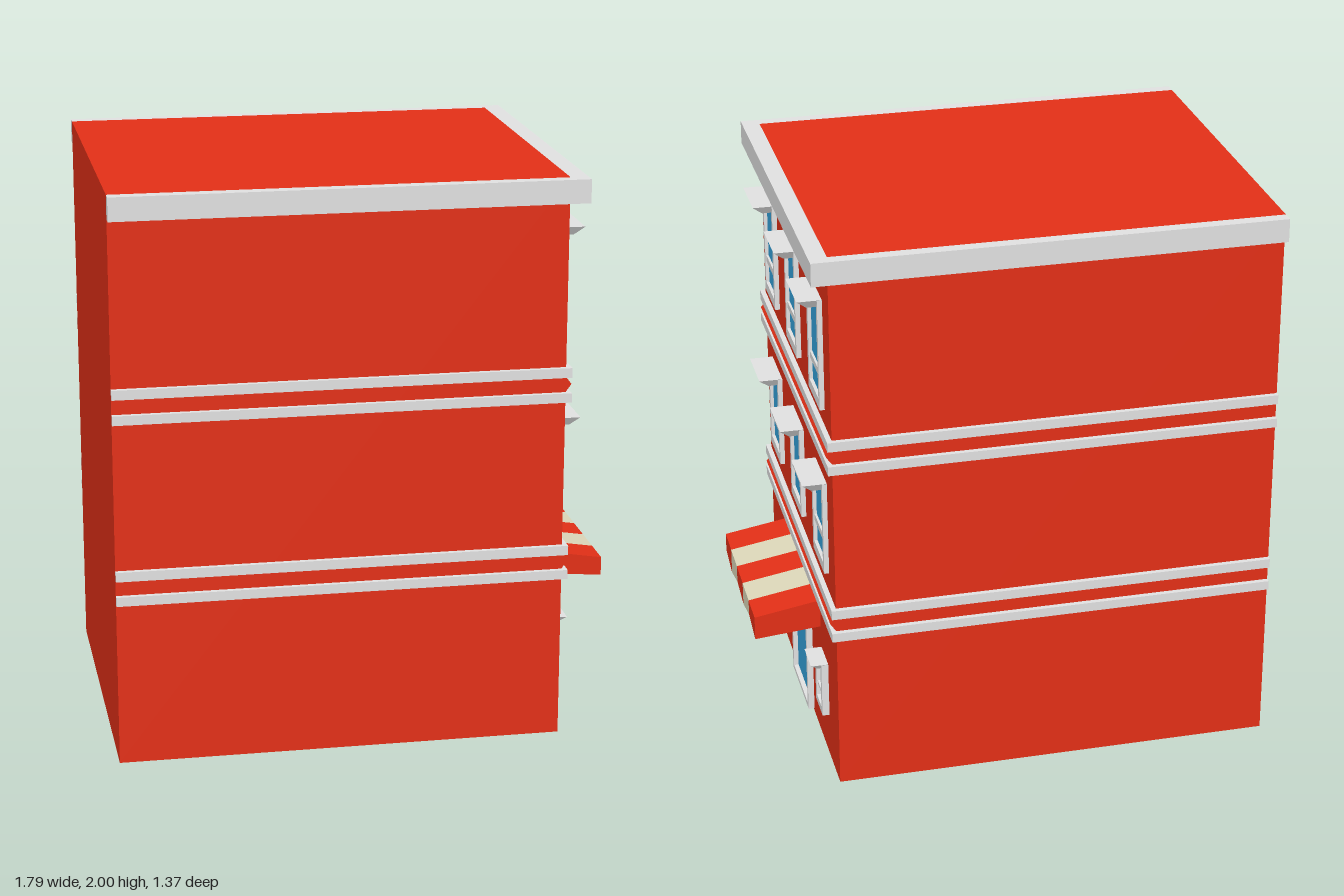
import * as THREE from 'three';

const mat = (name, color) => {
  const m = new THREE.MeshStandardMaterial({ color });
  m.name = name;
  return m;
};

export function createModel() {
  const root = new THREE.Group();
  root.name = 'townBuilding';
  const red = mat('brickRed', 0xe43017);
  const grey = mat('trimGrey', 0xe2e2e2);
  const blue = mat('glassBlue', 0x35a4df);
  const cream = mat('awningCream', 0xddd8ba);

  const BACK = -0.896, WALL = 0.658, HALF = 0.64;

  const add = (parent, name, geo, material) => {
    const m = new THREE.Mesh(geo, material);
    m.name = name;
    parent.add(m);
    return m;
  };
  // Box given by its minimum and maximum corners
  const box = (parent, name, material, x0, x1, y0, y1, z0, z1) => {
    const m = add(parent, name, new THREE.BoxGeometry(x1 - x0, y1 - y0, z1 - z0), material);
    m.position.set((x0 + x1) / 2, (y0 + y1) / 2, (z0 + z1) / 2);
    return m;
  };
  const polygon = (pts) => new THREE.Shape(pts.map(([x, y]) => new THREE.Vector2(x, y)));

  // Walls and flat roof
  box(root, 'walls', red, BACK, WALL, 0, 2, -HALF, HALF);

  // Three-sided trim around the facade and both side walls, open at the back
  const wrapTrim = (name, y0, y1, outX, outZ) => {
    const s = polygon([
      [BACK, -HALF - outZ], [WALL + outX, -HALF - outZ], [WALL + outX, HALF + outZ], [BACK, HALF + outZ],
      [BACK, HALF], [WALL, HALF], [WALL, -HALF], [BACK, -HALF],
    ]);
    const g = new THREE.ExtrudeGeometry(s, { depth: y1 - y0, bevelEnabled: false });
    g.rotateX(-Math.PI / 2);
    add(root, name, g, grey).position.y = y0;
  };
  wrapTrim('cornice', 1.918, 2, 0.062, 0.043);
  for (const y of [0.58, 1.22]) {
    wrapTrim('lowerBand', y, y + 0.033, 0.018, 0.018);
    wrapTrim('upperBand', y + 0.088, y + 0.122, 0.018, 0.018);
    // Pointed ridge between the bands, on the facade only
    const ridge = polygon([[WALL, y + 0.033], [WALL + 0.02, y + 0.061], [WALL, y + 0.088]]);
    const g = new THREE.ExtrudeGeometry(ridge, { depth: 2 * HALF, bevelEnabled: false });
    add(root, 'facadeRidge', g, red).position.z = -HALF;
  }

  // Rectangular frame facing +x, origin at its bottom centre
  const frame = (parent, name, w, h, side, bottom, top, depth) => {
    const s = polygon([[-w / 2, 0], [w / 2, 0], [w / 2, h], [-w / 2, h]]);
    const i = w / 2 - side;
    s.holes.push(polygon([[-i, bottom], [-i, h - top], [i, h - top], [i, bottom]]));
    const g = new THREE.ExtrudeGeometry(s, { depth, bevelEnabled: false });
    g.rotateY(Math.PI / 2);
    add(parent, name, g, grey);
  };

  // Lintel hood that flares out towards its top
  const lintel = (parent, w, h, y, reach) => {
    const g = new THREE.BoxGeometry(reach, h, w);
    const p = g.attributes.position;
    for (let i = 0; i < p.count; i++) {
      if (p.getY(i) < 0) {
        if (p.getX(i) > 0) p.setX(i, p.getX(i) - reach * 0.42);
        p.setZ(i, p.getZ(i) * 0.82);
      }
    }
    const flat = g.toNonIndexed();
    flat.computeVertexNormals();
    add(parent, 'lintel', flat, grey).position.set(reach / 2, y - h / 2, 0);
  };

  // Sash window with glass, meeting rail and hood
  const makeWindow = (z, y, w, h, o) => {
    const g = new THREE.Group();
    g.name = 'window';
    g.position.set(WALL, y, z);
    root.add(g);
    const i = w / 2 - o.side;
    frame(g, 'windowFrame', w, h, o.side, o.sill, o.side, o.depth);
    box(g, 'glass', blue, 0, 0.005, o.sill, h - o.side, -i, i);
    box(g, 'meetingRail', grey, 0.004, o.depth - 0.004, o.railY - o.rail / 2, o.railY + o.rail / 2, -i, i);
    lintel(g, w + 0.002, o.hood, h, o.reach);
  };
  const large = { side: 0.021, sill: 0.035, depth: 0.017, railY: 0.127, rail: 0.024, hood: 0.03, reach: 0.085 };
  const small = { side: 0.02, sill: 0.026, depth: 0.025, railY: 0.079, rail: 0.01, hood: 0.018, reach: 0.062 };
  for (const z of [-0.428, 0, 0.428]) {
    makeWindow(z, 1.403, 0.203, 0.4, large);
    makeWindow(z, 0.78, 0.203, 0.346, large);
  }
  for (const z of [-0.4, 0.437]) makeWindow(z, 0.169, 0.124, 0.208, small);

  // Door
  const door = new THREE.Group();
  door.name = 'door';
  door.position.set(WALL, 0.01, 0.003);
  root.add(door);
  frame(door, 'doorFrame', 0.312, 0.462, 0.018, 0.016, 0.02, 0.022);
  box(door, 'doorGlass', blue, 0, 0.005, 0.014, 0.45, -0.14, 0.14);

  // Striped awning: solid slices with a zigzag lower edge
  const edges = [0.31, 0.184, 0.055, -0.073, -0.203, -0.33];
  const hem = [0.457, 0.428, 0.46, 0.438, 0.465, 0.437];
  const awning = new THREE.Group();
  awning.name = 'awning';
  root.add(awning);
  const section = (k) => [
    [WALL, 0.563, edges[k]], [0.893, 0.524, edges[k]],
    [0.893, hem[k], edges[k]], [WALL, hem[k] + 0.02, edges[k]],
  ];
  for (let k = 0; k < 5; k++) {
    const a = section(k), b = section(k + 1), v = [];
    const quad = (p, q, r, s) => v.push(...p, ...q, ...r, ...p, ...r, ...s);
    for (let j = 0; j < 4; j++) {
      const n = (j + 1) % 4;
      quad(a[j], a[n], b[n], b[j]);
    }
    if (k === 0) quad(a[3], a[2], a[1], a[0]);
    if (k === 4) quad(b[0], b[1], b[2], b[3]);
    const g = new THREE.BufferGeometry();
    g.setAttribute('position', new THREE.Float32BufferAttribute(v, 3));
    g.computeVertexNormals();
    add(awning, 'awningStripe', g, k % 2 ? cream : red);
  }

  return root;
}
